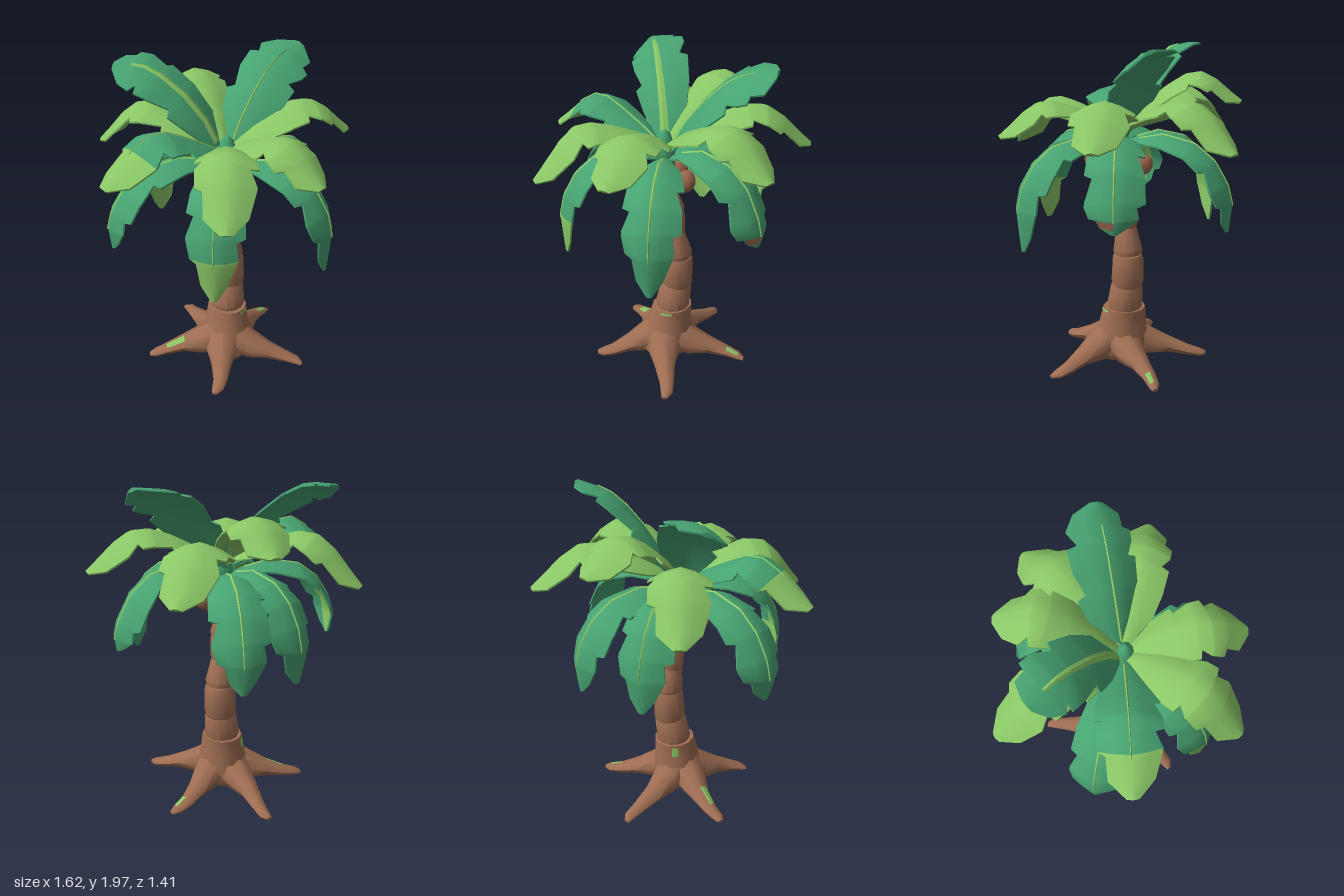
import * as THREE from 'three';
import { toCreasedNormals } from 'three/addons/utils/BufferGeometryUtils.js';

const V = (x, y, z) => new THREE.Vector3(x, y, z);
const mat = (name, color) => {
  const m = new THREE.MeshStandardMaterial({ color });
  m.name = name;
  return m;
};

// Skin between rings of points (counterclockwise around the path), capped at both ends.
// pick(i, j) gives the material index of each quad.
function loft(rings, crease, pick = () => 0) {
  const n = rings[0].length, last = rings.length - 1, faces = [[], [], []];
  for (let i = 0; i < last; i++) {
    for (let j = 0; j < n; j++) {
      const a = i * n + j, b = i * n + (j + 1) % n;
      faces[pick(i, j)].push(a, b, a + n, b, b + n, a + n);
    }
  }
  for (let j = 1; j < n - 1; j++) {
    faces[0].push(0, j + 1, j);
    faces[pick(last - 1, 0)].push(last * n, last * n + j, last * n + j + 1);
  }
  const g = new THREE.BufferGeometry().setFromPoints(rings.flat());
  g.setIndex(faces.flat());
  let start = 0;
  faces.forEach((f, m) => {
    if (f.length) g.addGroup(start, f.length, m);
    start += f.length;
  });
  return toCreasedNormals(g, crease);
}

export function createModel() {
  const model = new THREE.Group();
  model.name = 'palmTree';
  const bark = mat('bark', 0x9f6e53), nutBrown = mat('nutBrown', 0x9b654d);
  const dark = mat('darkLeaf', 0x47a372), light = mat('lightLeaf', 0x8ac766);

  const add = (parent, name, geometry, material) => {
    const mesh = new THREE.Mesh(geometry, material);
    mesh.name = name;
    parent.add(mesh);
    return mesh;
  };

  // Trunk: stacked bevelled segments along a leaning line
  // [x, y, z, bottom radius, top radius]
  const trunk = new THREE.Group();
  trunk.name = 'trunk';
  model.add(trunk);
  const joints = [
    [0.025, 0.34, -0.035, 0.11, 0.1], [0.045, 0.51, -0.055, 0.1, 0.094],
    [0.052, 0.71, -0.06, 0.09, 0.066], [0.03, 0.88, -0.045, 0.07, 0.07],
    [0.028, 1.02, -0.04, 0.072, 0.055], [0.0, 1.16, -0.02, 0.058, 0.06],
    [-0.005, 1.36, 0, 0, 0],
  ];
  for (let i = 0; i < joints.length - 1; i++) {
    const [x, y, z, r0, r1] = joints[i], a = V(x, y, z);
    const axis = V(...joints[i + 1].slice(0, 3)).sub(a), h = axis.length();
    const profile = [[0, -0.01], [r0 * 0.9, -0.01], [r0, 0.02], [r1, h - 0.02], [r1 * 0.9, h], [0, h]]
      .map(p => new THREE.Vector2(...p));
    const seg = add(trunk, 'trunkSegment', toCreasedNormals(new THREE.LatheGeometry(profile, 12), 0.65), bark);
    seg.position.copy(a);
    seg.quaternion.setFromUnitVectors(V(0, 1, 0), axis.normalize());
  }

  // Flared foot of the trunk
  const foot = [[0.02, 0.14], [0.06, 0.165], [0.13, 0.16], [0.22, 0.14], [0.35, 0.122]].map(([y, r]) => {
    const k = y / 0.35;
    return Array.from({ length: 12 }, (_, j) => {
      const q = -j / 12 * Math.PI * 2;
      return V(0.025 * k + r * Math.cos(q), y, -0.035 * k + r * 1.08 * Math.sin(q));
    });
  });
  add(trunk, 'trunkFoot', loft(foot, 0.8), bark);

  // Moss plates on the foot: [start angle, sweep, centre height, height]
  for (const [from, sweep, y, h] of [[0.2, 0.6, 0.34, 0.016], [3.75, 0.3, 0.31, 0.06]]) {
    const r = 0.122 + (0.35 - y) * 0.14 + 0.004;
    const moss = add(trunk, 'moss',
      new THREE.CylinderGeometry(r - h * 0.07, r + h * 0.07, h, 4, 1, true, from, sweep), light);
    moss.position.set(0.025 * y / 0.35, y, -0.035 * y / 0.35);
    moss.scale.z = 1.08;
  }

  // Roots: tapered limbs resting on the ground, some with a mossy patch
  // [tip x, tip z, patch section, patch side]
  const rootTips = [[0.46, -0.26, 3, 2], [0.36, 0.38, -1, 0], [-0.27, 0.37, -1, 0],
    [-0.48, -0.19, 2, 1], [-0.04, -0.56, -1, 0]];
  for (const [x, z, section, facet] of rootTips) {
    const R = Math.hypot(x, z), a = V(x / R, 0, z / R), s = V(a.z, 0, -a.x);
    // [fraction out, centre height, half width, half height]
    const rings = [[0.06, 0.16, 0.12, 0.13], [0.32, 0.1, 0.1, 0.095], [0.55, 0.07, 0.065, 0.055],
      [0.78, 0.035, 0.045, 0.035], [0.93, 0.018, 0.036, 0.025], [1, 0.01, 0.018, 0.01]]
      .map(([k, y, w, h], i) => Array.from({ length: 8 }, (_, j) => {
        const q = j / 8 * Math.PI * 2, bend = Math.sin(i * 1.3 + x * 9) * 0.012;
        const p = a.clone().multiplyScalar(R * k).addScaledVector(s, w * Math.cos(q) + bend);
        p.y = Math.max(0, y + h * Math.sin(q));
        return p;
      }));
    add(trunk, 'root', loft(rings, 0.9, (i, j) => (i === section && j === facet ? 1 : 0)), [bark, light]);
  }

  // Coconuts clustered under the crown
  const nuts = [[-0.1, 1.2, 0.06], [-0.03, 1.27, 0.15], [0.08, 1.22, 0.1], [0.08, 1.22, -0.09],
    [-0.03, 1.25, -0.14], [-0.07, 1.18, -0.04]];
  nuts.forEach((p, i) => {
    const nut = add(model, 'coconut', new THREE.SphereGeometry(0.06, 10, 8), nutBrown);
    nut.position.set(...p);
    nut.scale.y = 1.15;
    nut.rotation.set(p[2] * 4, i, -p[0] * 4);
  });

  // Crown bud where the stalks meet
  const bud = [[0, 0], [0.06, 0.02], [0.065, 0.1], [0.035, 0.2], [0, 0.23]].map(p => new THREE.Vector2(...p));
  add(model, 'crownBud', new THREE.LatheGeometry(bud, 10), dark).position.set(0, 1.33, 0.01);

  // Fronds: folded leaf blades with notched edges, swept along an arching curve
  const T = [0, 0.12, 0.26, 0.42, 0.44, 0.56, 0.58, 0.68, 0.7, 0.8, 0.82, 0.93, 1];
  const W = [
    [0.16, 0.36, 0.78, 1, 0.76, 1, 1, 1.04, 0.75, 0.97, 0.94, 0.7, 0.2],
    [0.16, 0.36, 0.78, 0.97, 0.97, 1.03, 0.76, 1, 1, 1, 0.74, 0.72, 0.2],
  ];
  const across = [1, 0.5, 0, -0.5, -1];

  // tinted(i, j) picks quads in tipMat; reach is how far the underside colour spreads (2 = to the rim)
  function frond({ tip: [x, z], path, width, color, tinted = () => false, tipMat = light,
    under = color, reach = 2, rib = 0, fold = 0.4, roll = 0, taper = 0 }) {
    const leaf = new THREE.Group();
    leaf.name = 'frond';
    model.add(leaf);
    const R = Math.hypot(x, z), a = V(x / R, 0, z / R), side = V(a.z, 0, -a.x);
    const curve = new THREE.CatmullRomCurve3(
      path.map(([k, y]) => a.clone().multiplyScalar(R * k).setY(y)));
    const frames = T.map(t => {
      const p = curve.getPoint(t), d = curve.getTangent(t);
      const s = side.clone().applyAxisAngle(d, roll);
      return { p, s, n: d.cross(s).normalize() };
    });
    const rings = frames.map(({ p, s, n }, i) => {
      const slim = 1 - taper * Math.max(0, T[i] - 0.7) / 0.3;
      const row = (u, drop) => {
        const w = W[u > 0 ? 0 : 1][i] * width * slim * Math.abs(u);
        return p.clone().addScaledVector(s, Math.sign(u) * w)
          .addScaledVector(n, -fold * w * (0.4 + 0.6 * Math.abs(u)) - drop);
      };
      return [...across.map(u => row(u, 0)),
        ...across.map(u => row(-u, 0.01 + 0.014 * (1 - Math.abs(u))))];
    });
    const pick = (i, j) => (tinted(i, j) ? 1 : Math.abs(j - 6.5) < reach ? 2 : 0);
    add(leaf, 'blade', loft(rings, 0.8, pick), [color, tipMat, under]);
    if (rib) {
      // Thin pale midrib lying along the ridge
      const strip = frames.slice(1, 11).map(({ p, s, n }, i) => {
        const w = rib * (1 - i / 14);
        const at = (u, h) => p.clone().addScaledVector(s, u * w).addScaledVector(n, h);
        return [at(1, -w * 0.2), at(0, 0.005), at(-1, -w * 0.2), at(0, -0.004)];
      });
      add(leaf, 'midrib', loft(strip, 0.6), light);
    }
  }

  // Upright dark pair, rolled so their faces turn forward
  frond({ tip: [-0.51, -0.4], path: [[0, 1.4], [0.25, 1.7], [0.7, 1.93], [1, 1.94]],
    width: 0.17, color: dark, rib: 0.026, fold: 0.3, roll: -0.4 });
  frond({ tip: [0.61, -0.2], path: [[0, 1.4], [0.25, 1.67], [0.65, 1.91], [1, 1.97]],
    width: 0.185, color: dark, rib: 0.008, fold: 0.32, roll: 0.38 });

  // Middle tier: [tip x, tip z, peak height, tip height]
  const middle = [
    [0.05, -0.71, 1.82, 1.66], [0.57, -0.65, 1.69, 1.45], [-0.54, -0.64, 1.69, 1.42],
    [0.81, 0.07, 1.7, 1.49], [0.21, 0.68, 1.65, 1.46], [-0.37, 0.69, 1.63, 1.34],
  ];
  for (const [x, z, peak, end] of middle) {
    frond({ tip: [x, z], path: [[0, 1.46], [0.28, (peak + 1.53) / 2], [0.65, peak], [1, end]],
      width: 0.165, color: light });
  }
  frond({ tip: [-0.81, 0.13], path: [[0, 1.44], [0.28, 1.58], [0.6, 1.68], [1, 1.46]],
    width: 0.175, color: dark, tinted: i => T[i] >= 0.8, rib: 0.008 });

  // Drooping lower tier: [tip x, tip z, peak height, tip height, extra colours]
  const lower = [
    [0.7, -0.03, 1.49, 1.03, { tinted: (i, j) => i === 10 && (j === 2 || j === 3), tipMat: bark }],
    [-0.72, -0.1, 1.46, 0.95, { under: light, reach: 1 }],
    [0.39, 0.54, 1.45, 0.82, {}],
    [-0.36, 0.52, 1.46, 0.82, { tinted: i => T[i] >= 0.8, under: light, reach: 1 }],
    [-0.2, -0.58, 1.46, 0.87, { under: light }],
    [0.2, -0.67, 1.46, 0.91, { under: light }],
  ];
  for (const [x, z, peak, end, extra] of lower) {
    frond({ tip: [x, z], path: [[0, 1.38], [0.38, peak], [0.76, peak - 0.08], [0.99, 1.13], [0.98, end]],
      width: 0.16, color: dark, rib: 0.01, taper: 0.45, ...extra });
  }
  return model;
}
